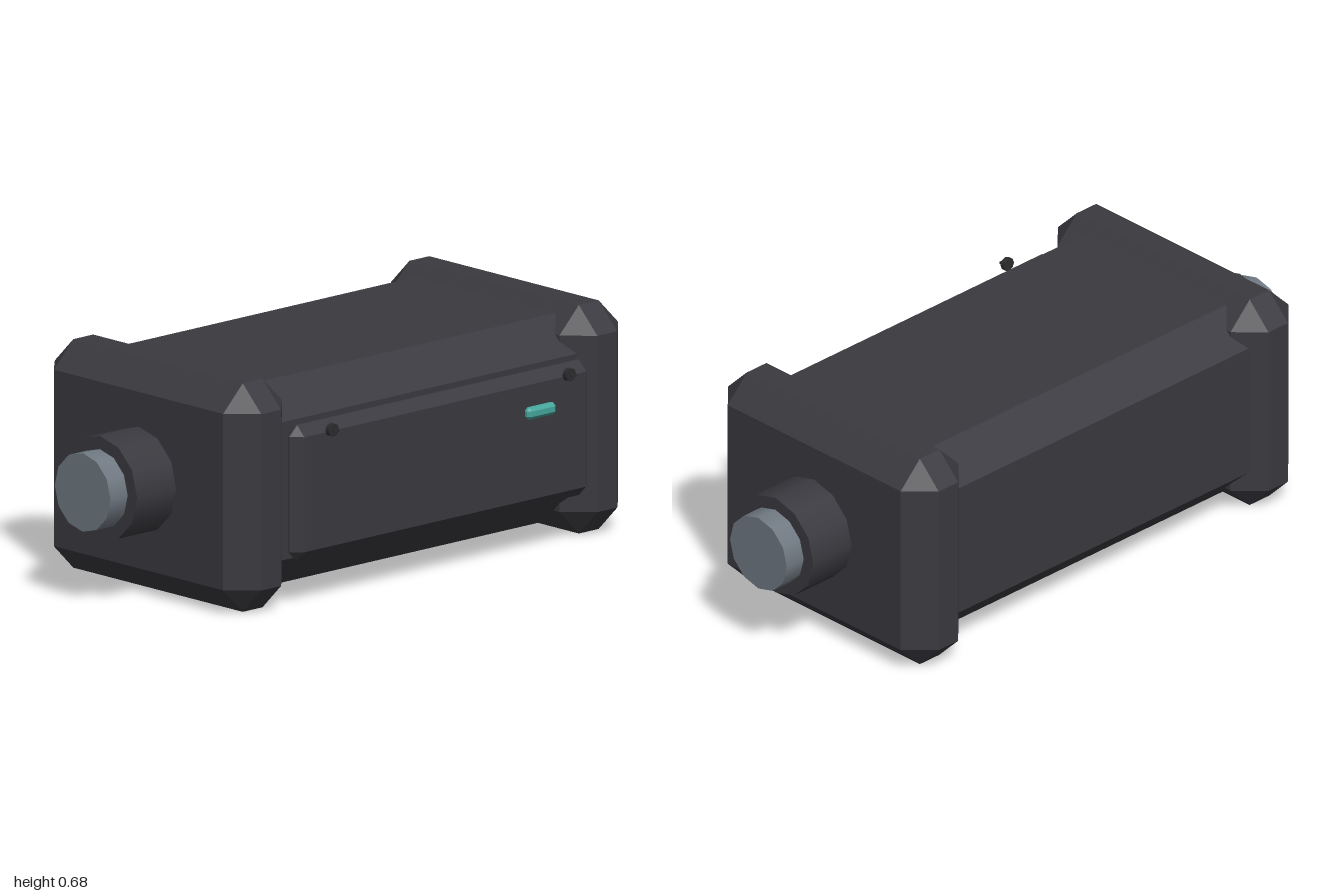
import * as THREE from 'three';
import { ConvexGeometry } from 'three/addons/geometries/ConvexGeometry.js';

function material(name, color) {
  const m = new THREE.MeshStandardMaterial({ color });
  m.name = name;
  return m;
}

// Box with every edge cut by the same flat bevel
function bevelledBox(width, height, depth, bevel) {
  const half = [width / 2, height / 2, depth / 2];
  const points = [];
  for (const sx of [-1, 1]) for (const sy of [-1, 1]) for (const sz of [-1, 1]) {
    for (let axis = 0; axis < 3; axis++) {
      const p = half.map((h, i) => (i === axis ? h : h - bevel));
      points.push(new THREE.Vector3(p[0] * sx, p[1] * sy, p[2] * sz));
    }
  }
  return new ConvexGeometry(points);
}

export function createModel() {
  const model = new THREE.Group();
  model.name = 'canister';
  const casing = material('charcoal casing', 0x3a393f);
  const steel = material('grey steel', 0x707982);
  const bolt = material('dark bolt', 0x2c2c2e);
  const teal = material('teal light', 0x45a59b);

  function add(name, geometry, mat, x, y, z, parent = model) {
    const mesh = new THREE.Mesh(geometry, mat);
    mesh.name = name;
    mesh.position.set(x, y, z);
    parent.add(mesh);
    return mesh;
  }

  // Main casing and front panel
  add('body', bevelledBox(1.38, 0.608, 0.778, 0.1), casing, 0, 0.341, -0.036);
  add('frontPanel', bevelledBox(1.17, 0.4, 0.066, 0.03), casing, 0, 0.339, 0.387);

  // Indicator light on the panel
  add('indicatorLight', bevelledBox(0.112, 0.036, 0.028, 0.01), teal, 0.36, 0.43, 0.435);

  for (const side of [-1, 1]) {
    const sideName = side > 0 ? 'left' : 'right';

    // Bevelled end cap
    add(sideName + 'EndCap', bevelledBox(0.232, 0.675, 0.86, 0.077), casing, side * 0.662, 0.3375, -0.035);

    // Sleeve with a steel plug in it
    const sleeve = add(sideName + 'Sleeve', new THREE.CylinderGeometry(0.155, 0.155, 0.2, 12), casing, side * 0.832, 0.34, -0.033);
    const plug = add(sideName + 'Plug', new THREE.CylinderGeometry(0.116, 0.116, 0.2, 12), steel, side * 0.9, 0.34, -0.033);
    sleeve.rotation.z = plug.rotation.z = Math.PI / 2;

    // Panel bolt with a small bar in front
    const group = new THREE.Group();
    group.name = sideName + 'PanelBolt';
    group.position.set(side * 0.467, 0.52, 0.443);
    model.add(group);
    const head = add('boltHead', new THREE.CylinderGeometry(0.02, 0.02, 0.015, 8), bolt, 0, 0, 0, group);
    head.rotation.x = Math.PI / 2;
    add('boltBar', new THREE.BoxGeometry(0.022, 0.007, 0.006), bolt, 0, 0, 0.017, group);
  }

  return model;
}
